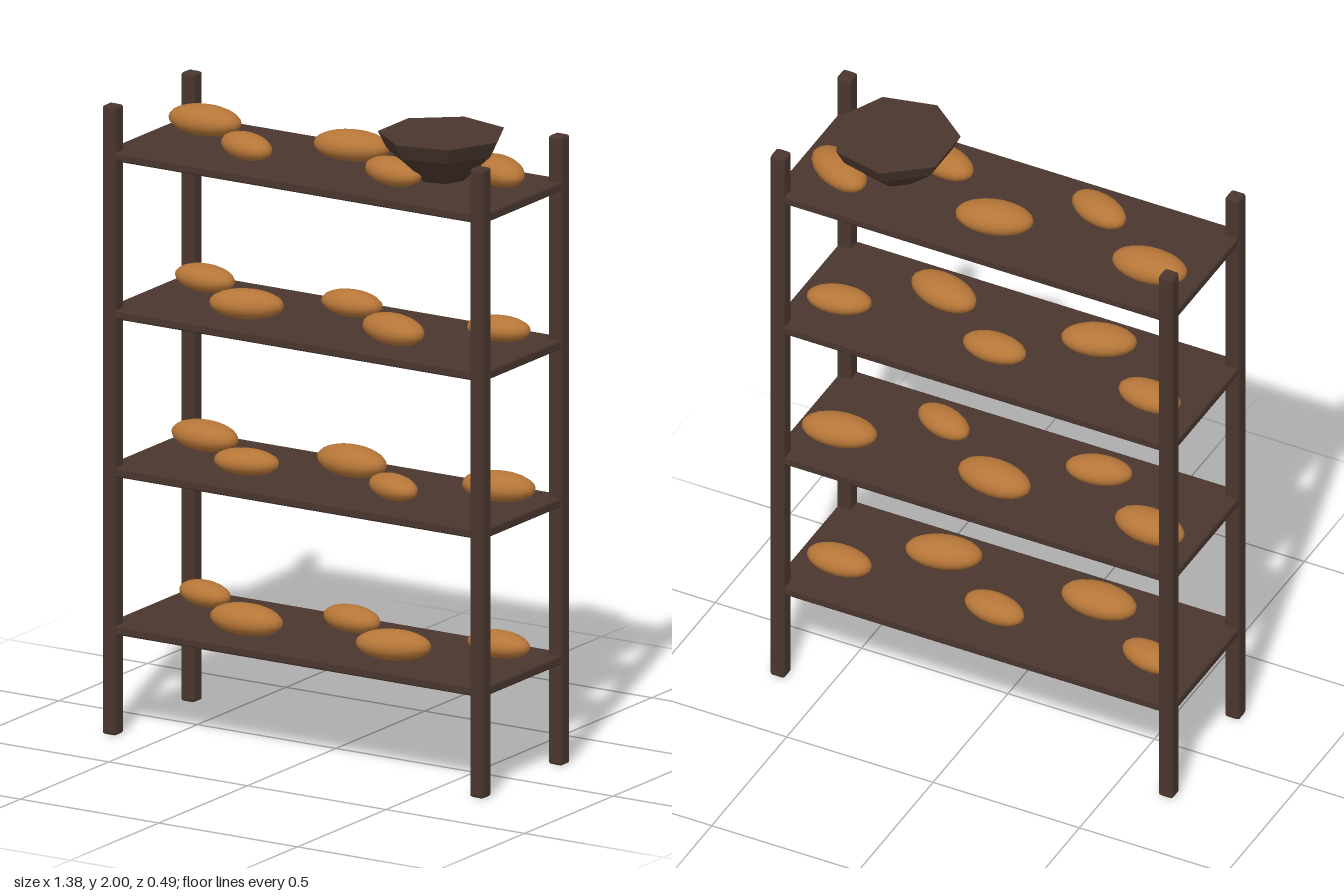
import * as THREE from 'three';
import { RoundedBoxGeometry } from 'three/addons/geometries/RoundedBoxGeometry.js';

export function createModel() {
  const group = new THREE.Group();
  const wood = new THREE.MeshStandardMaterial({ color: 0x49362e });
  wood.name = 'darkWood';
  const crust = new THREE.MeshStandardMaterial({ color: 0xb67638 });
  crust.name = 'breadCrust';

  function add(name, geometry, material, x, y, z) {
    const mesh = new THREE.Mesh(geometry, material);
    mesh.name = name;
    mesh.position.set(x, y, z);
    group.add(mesh);
    return mesh;
  }

  // Four corner posts with softened edges
  const postGeo = new RoundedBoxGeometry(0.05, 1.985, 0.05, 1, 0.009);
  for (const x of [-0.663, 0.663])
    for (const z of [-0.222, 0.222]) add('post', postGeo, wood, x, 0.9925, z);

  // Loaves on each shelf, left to right: [length, turn about y]
  const tiers = [
    [[0.20, -0.25], [0.25, 0.0], [0.21, -0.15], [0.24, 0.25], [0.215, 0.0]],
    [[0.24, -0.1], [0.21, 0.2], [0.25, -0.1], [0.20, -0.35], [0.24, 0.15]],
    [[0.215, -0.1], [0.235, 0.3], [0.21, 0.0], [0.24, -0.25], [0.205, 0.2]],
    [[0.245, 0.05], [0.21, -0.35], [0.245, 0.22], [0.22, -0.25], [0.235, -0.5]],
  ];
  const shelfGeo = new RoundedBoxGeometry(1.368, 0.03, 0.486, 1, 0.007);
  const loafGeo = new THREE.SphereGeometry(0.5, 18, 12);
  tiers.forEach((loaves, t) => {
    const y = 0.333 + t * 0.498;
    add('shelf', shelfGeo, wood, 0, y, 0);
    loaves.forEach(([length, turn], i) => {
      const z = i % 2 === 0 ? -0.09 : 0.09;
      const loaf = add('loaf', loafGeo, crust, (i - 2) * 0.265, y + 0.056, z);
      loaf.scale.set(length, length * 0.39, length * 0.55);
      loaf.rotation.y = turn;
    });
  });

  // Seven-sided faceted bowl, closed flat at the rim
  const profile = [[0, 0], [0.075, 0], [0.172, 0.09], [0.198, 0.14], [0, 0.14]];
  const bowlGeo = new THREE.LatheGeometry(
    profile.map(([r, h]) => new THREE.Vector2(r, h)), 7, Math.PI / 2
  ).toNonIndexed();
  bowlGeo.computeVertexNormals();
  add('bowl', bowlGeo, wood, 0.384, 1.86, 0);

  return group;
}
